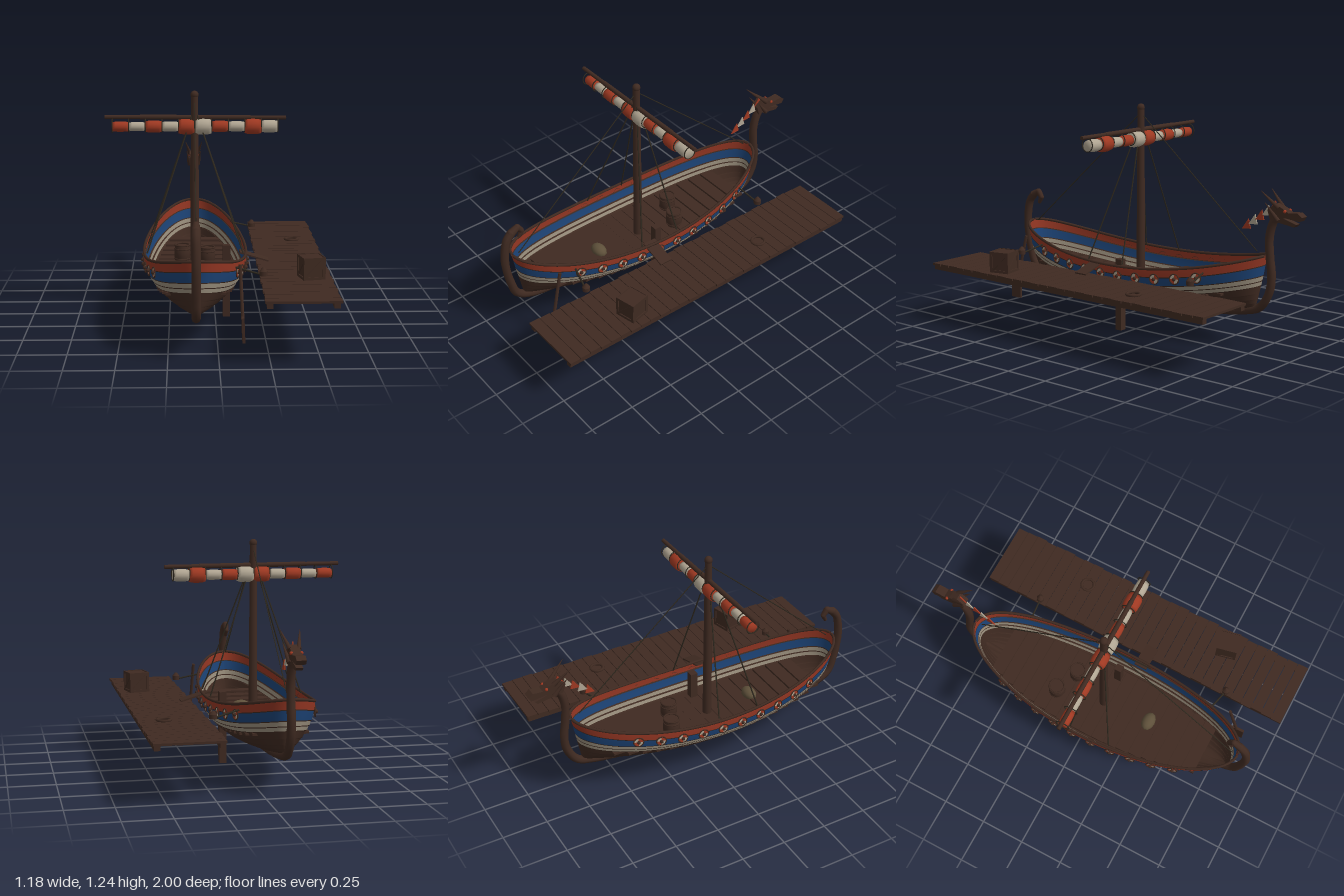
import * as THREE from 'three';

const mat = (name, color, side = THREE.FrontSide) => {
  const m = new THREE.MeshStandardMaterial({ color, side });
  m.name = name;
  return m;
};
const V = (x, y, z) => new THREE.Vector3(x, y, z);
const CX = -0.11, CZ = 0.055; // ship centre

export function createModel() {
  const root = new THREE.Group();
  const wood = mat('dark wood', 0x3f2a21, THREE.DoubleSide);
  const sailRed = mat('red cloth', 0x9f3922, THREE.DoubleSide);
  const sailCream = mat('cream cloth', 0xb0a592, THREE.DoubleSide);
  const red = mat('worn red paint', 0x913522, THREE.DoubleSide);
  const cream = mat('worn cream paint', 0x978c7a, THREE.DoubleSide);
  const blue = mat('worn blue paint', 0x1c4274, THREE.DoubleSide);
  const rope = mat('rope', 0x2f291f);
  const sackCloth = mat('sack cloth', 0x5e503a);

  const add = (name, geo, m = wood, parent = root) => {
    const mesh = new THREE.Mesh(geo, m);
    mesh.name = name;
    parent.add(mesh);
    return mesh;
  };
  const box = (name, w, h, d, x, y, z, m = wood, parent = root) => {
    const b = add(name, new THREE.BoxGeometry(w, h, d), m, parent);
    b.position.set(x, y, z);
    return b;
  };
  // round bar between two points
  const rod = (name, a, b, r1, r2 = r1, m = wood, sides = 8) => {
    const c = add(name, new THREE.CylinderGeometry(r2, r1, a.distanceTo(b), sides), m);
    c.position.copy(a).lerp(b, 0.5);
    c.quaternion.setFromUnitVectors(V(0, 1, 0), b.clone().sub(a).normalize());
    return c;
  };
  // flat plate from a (z, y) outline, centred on x
  const plate = (name, pts, width, x, m = wood) => {
    const shape = new THREE.Shape(pts.map(p => new THREE.Vector2(p[0], p[1])));
    const g = new THREE.ExtrudeGeometry(shape, { depth: width, bevelEnabled: false });
    g.translate(0, 0, -width / 2).rotateY(-Math.PI / 2);
    add(name, g, m).position.x = x;
  };

  // hull shape: t runs bow (-1) to stern (1), h from keel (0) to sheer (1)
  const halfW = t => 0.275 * Math.sqrt(Math.max(0, 1 - t * t));
  const bottom = t => 0.145 + 0.07 * t * t;
  const sheer = t => 0.385 + 0.115 * t * t;
  const hullPoint = (t, h, side, out = 0) => V(
    CX + side * (halfW(t) * Math.sqrt(1 - (1 - h) ** 2) + out),
    bottom(t) + (sheer(t) - bottom(t)) * h,
    CZ + 0.82 * t * (1 - 0.06 * (1 - h)));

  // lengthwise strip through [height, overlap] rows
  const strip = (name, side, rows, m) => {
    const pos = [], idx = [], N = 48, R = rows.length;
    for (let i = 0; i <= N; i++) {
      const t = Math.sin((i / N - 0.5) * Math.PI);
      rows.forEach(([h, lap], j) => {
        pos.push(...hullPoint(t, h, side, lap * Math.sqrt(1 - t * t)).toArray());
        if (i === N || j === R - 1) return;
        const a = i * R + j, b = a + R;
        if (side > 0) idx.push(a, a + 1, b, b, a + 1, b + 1);
        else idx.push(a, b, a + 1, b, b + 1, a + 1);
      });
    }
    const g = new THREE.BufferGeometry();
    g.setAttribute('position', new THREE.Float32BufferAttribute(pos, 3));
    g.setIndex(idx);
    g.computeVertexNormals();
    add(name, g, m);
  };

  // overlapping strakes with bare wooden lower edges, the upper ones painted
  const breaks = [0, 0.03, 0.08, 0.16, 0.27, 0.41, 0.5, 0.6, 0.8, 1];
  const paint = { 5: cream, 6: cream, 7: blue, 8: red };
  const LAP = 0.006;
  for (const side of [1, -1]) {
    for (let k = 0; k < breaks.length - 1; k++) {
      const h0 = breaks[k], h1 = breaks[k + 1], e = h0 + (k ? 0.018 : 0.004);
      const lap = k ? LAP : 0;
      strip('strakeEdge', side, [[h0, 0], [h0, lap], [e, lap]], wood);
      strip('hullStrake', side, [[e, lap], [(e + h1) / 2, lap / 2], [h1, 0]], paint[k] || wood);
    }
    // gunwale
    const rail = [];
    for (let i = 0; i <= 24; i++) rail.push(hullPoint(Math.sin((i / 24 - 0.5) * 3.1), 1, side));
    add('gunwale', new THREE.TubeGeometry(new THREE.CatmullRomCurve3(rail), 60, 0.008, 6));
    // quartered shields
    for (let i = 0; i < 10; i++) {
      const t = (-0.49 + i * 0.121 - CZ) / 0.82;
      const s = new THREE.Group();
      s.name = 'shield';
      s.position.copy(hullPoint(t, 0.78, side, 0.011));
      s.rotation.y = Math.atan2(side, 0.34 * t / Math.sqrt(1 - t * t));
      root.add(s);
      for (let q = 0; q < 4; q++)
        add('shieldQuarter', new THREE.CircleGeometry(0.027, 5, q * Math.PI / 2, Math.PI / 2), q % 2 ? sailCream : sailRed, s);
      add('shieldRim', new THREE.TorusGeometry(0.027, 0.0035, 5, 14), wood, s);
      add('shieldBoss', new THREE.SphereGeometry(0.01, 8, 6), wood, s).position.z = 0.004;
    }
  }

  // keel, stern post and bow neck in one sweep
  const spine = [[0.87, 0.655], [0.905, 0.61], [0.925, 0.5], [0.92, 0.42],
    [0.9, 0.32], [0.87, 0.24], [0.78, 0.19], [0.5, 0.16], [0.05, 0.143], [-0.4, 0.16], [-0.66, 0.195],
    [-0.745, 0.225], [-0.8, 0.31], [-0.812, 0.4], [-0.8, 0.5], [-0.795, 0.6], [-0.815, 0.68], [-0.85, 0.73]];
  const curve = new THREE.CatmullRomCurve3(spine.map(p => V(CX, p[1], p[0])));
  add('keelAndPosts', new THREE.TubeGeometry(curve, 140, 0.023, 8));
  // tapering stern hook
  const hook = [[0.875, 0.65, 0.023], [0.835, 0.672, 0.018], [0.812, 0.64, 0.015], [0.83, 0.605, 0.01]];
  for (let i = 0; i < 3; i++) {
    const [z, y, r] = hook[i], [z2, y2, r2] = hook[i + 1];
    rod('sternHook', V(CX, y, z), V(CX, y2, z2), r, r2);
    add('hookJoint', new THREE.SphereGeometry(r, 8, 6)).position.set(CX, y, z);
  }

  // beast head
  plate('headUpper', [[-0.81, 0.7], [-0.795, 0.75], [-0.84, 0.785], [-0.885, 0.765], [-0.92, 0.745], [-0.975, 0.75],
    [-1, 0.73], [-0.985, 0.708], [-0.9, 0.718]], 0.05, CX);
  plate('lowerJaw', [[-0.83, 0.72], [-0.85, 0.69], [-0.95, 0.675], [-0.965, 0.69], [-0.88, 0.715]], 0.036, CX);
  for (const s of [1, -1]) {
    rod('horn', V(CX + s * 0.022, 0.765, -0.86), V(CX + s * 0.05, 0.85, -0.77), 0.013, 0.001);
    rod('ear', V(CX + s * 0.025, 0.7, -0.86), V(CX + s * 0.042, 0.79, -0.79), 0.014, 0.001);
    add('eye', new THREE.SphereGeometry(0.009, 8, 6), sailRed).position.set(CX + s * 0.026, 0.752, -0.9);
  }
  // pennant mane
  for (let i = 0; i < 5; i++) {
    const z = -0.63 - i * 0.041, y = 0.645 + i * 0.028;
    plate('pennant', [[z + 0.006, y - 0.016], [z - 0.048, y - 0.012], [z - 0.034, y + 0.04]], 0.006, CX, i % 2 ? sailCream : sailRed);
  }

  // deck planks trimmed to the hull
  for (let i = 0; i < 17; i++) {
    const z = -0.56 + i * 0.0762, t = (z - CZ) / 0.82, y = 0.238 + 0.1 * t * t;
    const h = (y - bottom(t)) / (sheer(t) - bottom(t));
    box('deckPlank', 2 * halfW(t) * Math.sqrt(1 - (1 - h) ** 2), 0.012, 0.074, CX, y, z);
  }

  // mast, yard and rigging
  rod('mast', V(CX, 0.16, CZ), V(CX, 1.22, CZ), 0.026, 0.019, wood, 12);
  add('mastCap', new THREE.SphereGeometry(0.022, 10, 8)).position.set(CX, 1.218, CZ);
  rod('yard', V(-0.59, 1.1, CZ), V(0.38, 1.095, CZ), 0.011);
  rod('yardMiddle', V(-0.4, 1.099, CZ), V(0.19, 1.096, CZ), 0.013);
  // furled sail in uneven rolls
  const rolls = [0.028, 0.025, 0.033, 0.028, 0.043, 0.044, 0.031, 0.028, 0.043, 0.034];
  const W = 0.0885;
  rolls.forEach((r, i) => {
    const prof = [[0, -0.5], [0.85, -0.5], [0.97, -0.3], [1, 0], [0.97, 0.3], [0.85, 0.5], [0, 0.5]]
      .map(p => new THREE.Vector2(p[0] * r, p[1] * W));
    add('furledSail', new THREE.LatheGeometry(prof, 14).rotateZ(-Math.PI / 2), i % 2 ? sailCream : sailRed)
      .position.set(-0.55 + W * (i + 0.5), 1.048, CZ);
  });
  for (let i = 0; i <= 10; i++) {
    add('sailTie', new THREE.TorusGeometry(0.036, 0.003, 5, 14).rotateY(Math.PI / 2), rope)
      .position.set(-0.55 + W * i, 1.054, CZ);
  }
  rod('stay', V(CX, 1.19, CZ), V(CX, 0.5, 0.84), 0.003, 0.003, rope, 5);
  rod('stay', V(CX, 1.19, CZ), V(CX, 0.52, -0.72), 0.003, 0.003, rope, 5);
  for (const s of [1, -1]) for (const z of [0.22, -0.02])
    rod('shroud', V(CX, 1.15, CZ), V(CX + s * 0.255, 0.39, z), 0.004, 0.004, rope, 5);

  // upright post and steering oar
  box('post', 0.04, 0.4, 0.04, 0.062, 0.2, 0.06);
  rod('steeringOar', V(0.108, 0.45, 0.73), V(0.119, 0.19, 0.79), 0.009);
  box('oarBlade', 0.014, 0.125, 0.07, 0.121, 0.142, 0.8).rotation.z = 0.04;

  // cargo on board
  for (const [x, z] of [[-0.18, -0.21], [-0.04, -0.15]]) {
    const prof = [[0.038, 0], [0.046, 0.035], [0.046, 0.065], [0.04, 0.1]].map(p => new THREE.Vector2(...p));
    add('barrel', new THREE.LatheGeometry(prof, 14)).position.set(x, 0.24, z);
    add('barrelLid', new THREE.CircleGeometry(0.041, 14).rotateX(-Math.PI / 2)).position.set(x, 0.335, z);
    for (const y of [0.262, 0.318, 0.34])
      add('barrelHoop', new THREE.TorusGeometry(0.042, 0.005, 6, 16).rotateX(Math.PI / 2)).position.set(x, y, z);
  }
  const sack = add('sack', new THREE.SphereGeometry(1, 12, 8), sackCloth);
  sack.scale.set(0.055, 0.035, 0.038);
  sack.position.set(-0.1, 0.262, 0.335);

  // dock
  for (let i = 0; i < 30; i++)
    box('dockPlank', 0.358 + 0.006 * (i % 3), 0.012, 0.0595, 0.401, 0.329, -0.851 + i * 0.0628);
  for (const x of [0.24, 0.56]) box('dockBeam', 0.03, 0.026, 1.87, x, 0.311, 0.06);
  for (const [z, zs] of [[-0.54, -0.52], [0.65, 0.62]]) {
    rod('bollard', V(0.228, 0.374, z), V(0.228, 0.397, z), 0.021);
    rod('bollardTop', V(0.228, 0.397, z), V(0.228, 0.416, z), 0.021, 0.006);
    rod('mooringRope', V(0.09, 0.41, zs), V(0.222, 0.378, z), 0.005, 0.005, rope, 6);
  }
  add('ropeCoil', new THREE.TorusGeometry(0.036, 0.008, 6, 18).rotateX(Math.PI / 2)).position.set(0.45, 0.34, -0.35);
  box('gangplank', 0.16, 0.008, 0.075, 0.205, 0.363, 0.16).rotation.z = -0.29;

  // crate with framed, braced sides
  const crate = new THREE.Group();
  crate.name = 'crate';
  crate.position.set(0.478, 0.392, 0.54);
  crate.rotation.y = 0.22;
  root.add(crate);
  box('crateBody', 0.106, 0.106, 0.106, 0, 0, 0, wood, crate);
  for (let k = 0; k < 4; k++) {
    const face = new THREE.Group();
    face.name = 'crateSide';
    face.rotation.y = k * Math.PI / 2;
    crate.add(face);
    for (const s of [1, -1]) {
      box('crateRail', 0.114, 0.014, 0.006, 0, s * 0.05, 0.055, wood, face);
      box('crateStile', 0.014, 0.114, 0.006, s * 0.05, 0, 0.055, wood, face);
    }
    box('crateBrace', 0.13, 0.012, 0.005, 0, 0, 0.0545, wood, face).rotation.z = Math.PI / 4;
  }
  return root;
}
